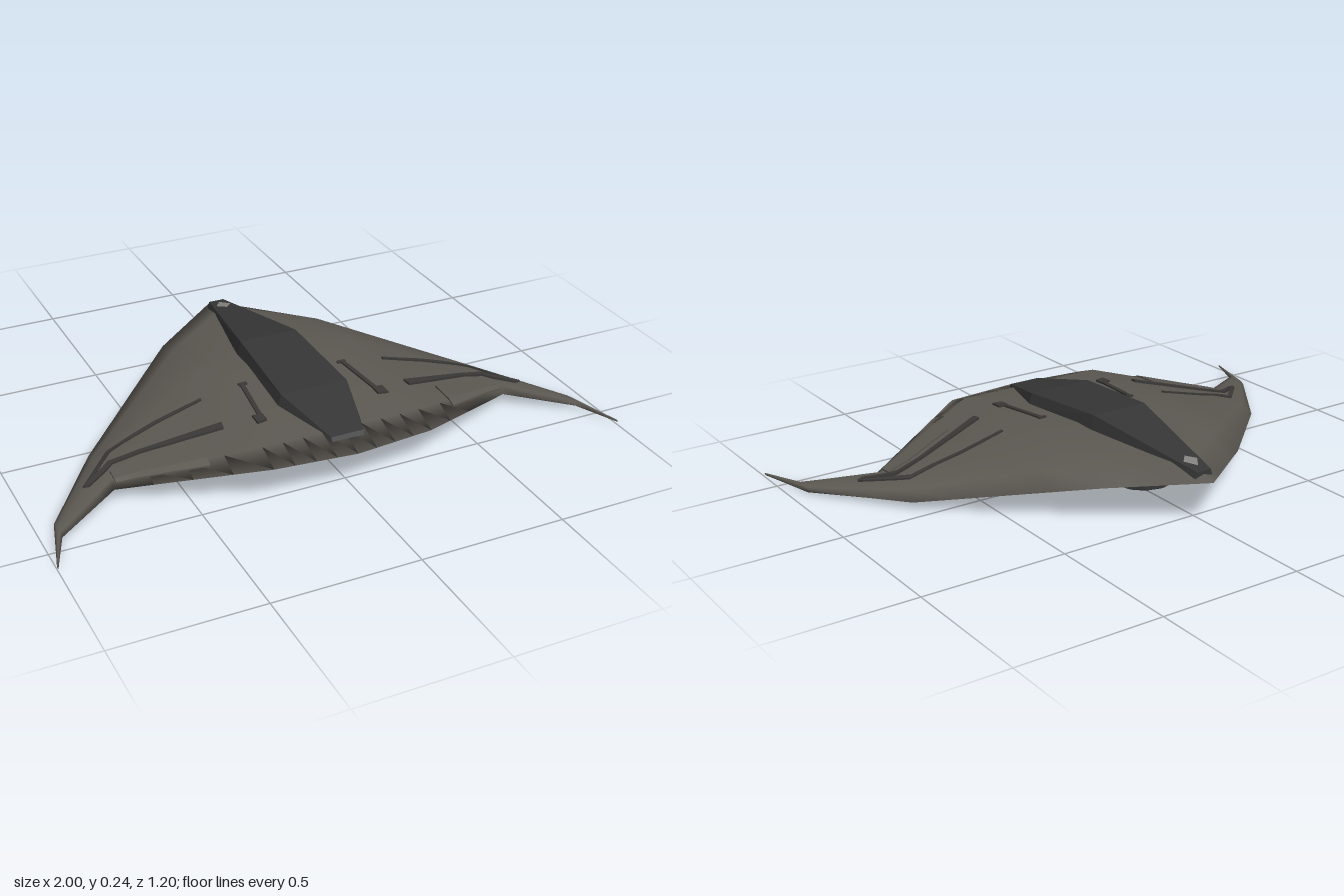
import * as THREE from 'three';

const hullGrey = new THREE.MeshStandardMaterial({ color: 0x5c5852 });
const spineGrey = new THREE.MeshStandardMaterial({ color: 0x363636 });
const trimGrey = new THREE.MeshStandardMaterial({ color: 0x3a3937 });
const paleGrey = new THREE.MeshStandardMaterial({ color: 0x85837f });

// Wing sections as [z, y]: leading edge, three top points, trailing edge, three underside points
const TOP = 5;
const STATIONS = [
  { x: 0, p: [[-0.6, 0.15], [-0.48, 0.184], [0, 0.2], [0.47, 0.175], [0.588, 0.143], [0.3, 0.105], [-0.1, 0.1], [-0.5, 0.125]] },
  { x: 0.28, p: [[-0.385, 0.125], [-0.27, 0.168], [-0.03, 0.198], [0.47, 0.175], [0.56, 0.143], [0.3, 0.105], [0, 0.1], [-0.3, 0.108]] },
  { x: 0.72, p: [[0.06, 0.028], [0.11, 0.055], [0.19, 0.07], [0.28, 0.062], [0.312, 0.045], [0.26, 0.022], [0.18, 0.016], [0.1, 0.018]] },
  { x: 0.94, p: [[0.37, 0.013], [0.385, 0.022], [0.405, 0.026], [0.435, 0.025], [0.455, 0.018], [0.435, 0.007], [0.41, 0.002], [0.385, 0.005]] },
  { x: 1, p: [[0.585, 0.014], [0.588, 0.017], [0.591, 0.018], [0.595, 0.018], [0.6, 0.015], [0.595, 0.012], [0.591, 0.011], [0.588, 0.012]] },
];

const lerp = THREE.MathUtils.lerp;

// Wing section at any distance from the centre line
function section(x) {
  const ax = Math.min(Math.abs(x), 1);
  let i = 0;
  while (i < STATIONS.length - 2 && ax > STATIONS[i + 1].x) i++;
  const a = STATIONS[i], b = STATIONS[i + 1];
  const t = (ax - a.x) / (b.x - a.x);
  return a.p.map(([z, y], j) => [lerp(z, b.p[j][0], t), lerp(y, b.p[j][1], t)]);
}

// Height of the upper skin
function topY(x, z) {
  const p = section(x);
  let j = 0;
  while (j < TOP - 2 && z > p[j + 1][0]) j++;
  const t = THREE.MathUtils.clamp((z - p[j][0]) / (p[j + 1][0] - p[j][0]), 0, 1);
  return lerp(p[j][1], p[j + 1][1], t);
}

// Surface through rows of points: rows advance along +x, points along +z
function grid(rows, flat) {
  const n = rows[0].length, index = [];
  for (let i = 0; i < rows.length - 1; i++) {
    for (let j = 0; j < n - 1; j++) {
      const a = i * n + j, d = a + n;
      index.push(a, a + 1, d + 1, a, d + 1, d);
    }
  }
  let g = new THREE.BufferGeometry();
  g.setAttribute('position', new THREE.Float32BufferAttribute(rows.flat(2), 3));
  g.setIndex(index);
  if (flat) g = g.toNonIndexed();
  g.computeVertexNormals();
  return g;
}

function add(parent, name, geometry, material) {
  const mesh = new THREE.Mesh(geometry, material);
  mesh.name = name;
  parent.add(mesh);
  return mesh;
}

function buildHull() {
  const xs = [];
  for (let i = 0; i < STATIONS.length - 1; i++) {
    for (let k = 0; k < 4; k++) xs.push(lerp(STATIONS[i].x, STATIONS[i + 1].x, k / 4));
  }
  xs.push(1);
  const all = [...xs.slice(1).reverse().map((x) => -x), ...xs];
  const rows = all.map((x) => section(x).map(([z, y]) => [x, y, z]));
  // Close each section by sharing its first vertex
  const n = rows[0].length, index = [];
  for (let i = 0; i < rows.length - 1; i++) {
    for (let j = 0; j < n; j++) {
      const k = (j + 1) % n, a = i * n, d = a + n;
      index.push(a + j, a + k, d + k, a + j, d + k, d + j);
    }
  }
  // Wing tip caps
  const last = (rows.length - 1) * n;
  for (let j = 1; j < n - 1; j++) {
    index.push(0, j + 1, j, last, last + j, last + j + 1);
  }
  const g = new THREE.BufferGeometry();
  g.setAttribute('position', new THREE.Float32BufferAttribute(rows.flat(2), 3));
  g.setIndex(index);
  g.computeVertexNormals();
  return g;
}

// Raised plate lying on the upper skin between a front and a rear edge of [x, z] points
function plate(front, rear, h, side) {
  const across = 4, steps = 5, rows = [];
  const makeRow = (f, r, lift) => {
    const row = [];
    for (let j = 0; j <= across; j++) {
      const x = lerp(f[0], r[0], j / across), z = lerp(f[1], r[1], j / across);
      const y = topY(x, z);
      if (j === 0) row.push([side * x, y - 0.006, z]);
      row.push([side * x, y + lift, z]);
      if (j === across) row.push([side * x, y - 0.006, z]);
    }
    return row;
  };
  const end = front.length - 1;
  rows.push(makeRow(front[0], rear[0], -0.006));
  for (let i = 0; i < end; i++) {
    for (let k = i ? 1 : 0; k <= steps; k++) {
      const mix = (e) => [0, 1].map((c) => lerp(e[i][c], e[i + 1][c], k / steps));
      rows.push(makeRow(mix(front), mix(rear), h));
    }
  }
  rows.push(makeRow(front[end], rear[end], -0.006));
  if (side < 0) rows.reverse();
  return grid(rows, true);
}

// Faceted spine: z, lower half width, upper half width, upper height
function buildSpine() {
  const s = [
    [-0.551, 0.035, 0.028, 0.15], [-0.55, 0.035, 0.028, 0.176], [-0.09, 0.118, 0.105, 0.245],
    [0.27, 0.135, 0.12, 0.222], [0.51, 0.068, 0.058, 0.175], [0.525, 0.066, 0.056, 0.15],
  ];
  const base = [0.15, 0.155, 0.185, 0.175, 0.15, 0.145];
  const lines = [[-1, 1], [-1, 2], [1, 2], [1, 1]];
  return grid(lines.map(([sx, c]) => s.map((r, i) => [sx * r[c], c === 2 ? r[3] : base[i], r[0]])), true);
}

export function createModel() {
  const model = new THREE.Group();
  model.name = 'flyingWing';

  add(model, 'hull', buildHull(), hullGrey);
  add(model, 'spine', buildSpine(), spineGrey);

  // Small diamond marker on the nose end of the spine
  const onSpine = (x, z) => [x, 0.179 + (z + 0.55) * 0.152, z];
  add(model, 'noseMarker', grid([
    [onSpine(-0.028, -0.48), onSpine(-0.028, -0.48)],
    [onSpine(0, -0.52), onSpine(0, -0.45)],
    [onSpine(0.028, -0.48), onSpine(0.028, -0.48)],
  ], true), paleGrey);

  // Wing panels and dark trim, mirrored on both wings
  for (const side of [1, -1]) {
    const wing = new THREE.Group();
    wing.name = side > 0 ? 'leftWingPanels' : 'rightWingPanels';
    model.add(wing);
    const put = (name, front, rear, h, mat) => add(wing, name, plate(front, rear, h, side), mat);
    put('rearFlap', [[0.44, 0.31], [0.63, 0.25], [0.71, 0.245]], [[0.44, 0.43], [0.63, 0.335], [0.71, 0.3]], 0.006, hullGrey);
    put('outerTrim', [[0.34, 0.11], [0.5, 0.112], [0.685, 0.138], [0.81, 0.27]],
      [[0.34, 0.12], [0.5, 0.126], [0.675, 0.15], [0.8, 0.275]], 0.006, trimGrey);
    put('innerTrim', [[0.335, 0.275], [0.6, 0.213], [0.7, 0.198], [0.81, 0.272]],
      [[0.34, 0.305], [0.6, 0.228], [0.69, 0.216], [0.79, 0.278]], 0.008, trimGrey);
    put('rootTrimBar', [[0.18, 0.1], [0.195, 0.1]], [[0.207, 0.33], [0.222, 0.33]], 0.006, trimGrey);
    put('rootTrimHead', [[0.17, 0.1], [0.2, 0.1]], [[0.17, 0.112], [0.2, 0.112]], 0.006, trimGrey);
    put('rootTrimFoot', [[0.202, 0.3], [0.238, 0.3]], [[0.202, 0.338], [0.238, 0.345]], 0.007, trimGrey);
  }

  // Stepped turret under the nose
  const profile = [
    [0, 0.035], [0.1, 0.035], [0.115, 0.043], [0.115, 0.056], [0.1, 0.064], [0.1, 0.073],
    [0.14, 0.073], [0.155, 0.083], [0.155, 0.1], [0.14, 0.115],
  ].map(([r, y]) => new THREE.Vector2(r, y));
  const turretGeometry = new THREE.LatheGeometry(profile, 12).toNonIndexed();
  turretGeometry.computeVertexNormals();
  add(model, 'bellyTurret', turretGeometry, spineGrey).position.z = -0.225;

  return model;
}
